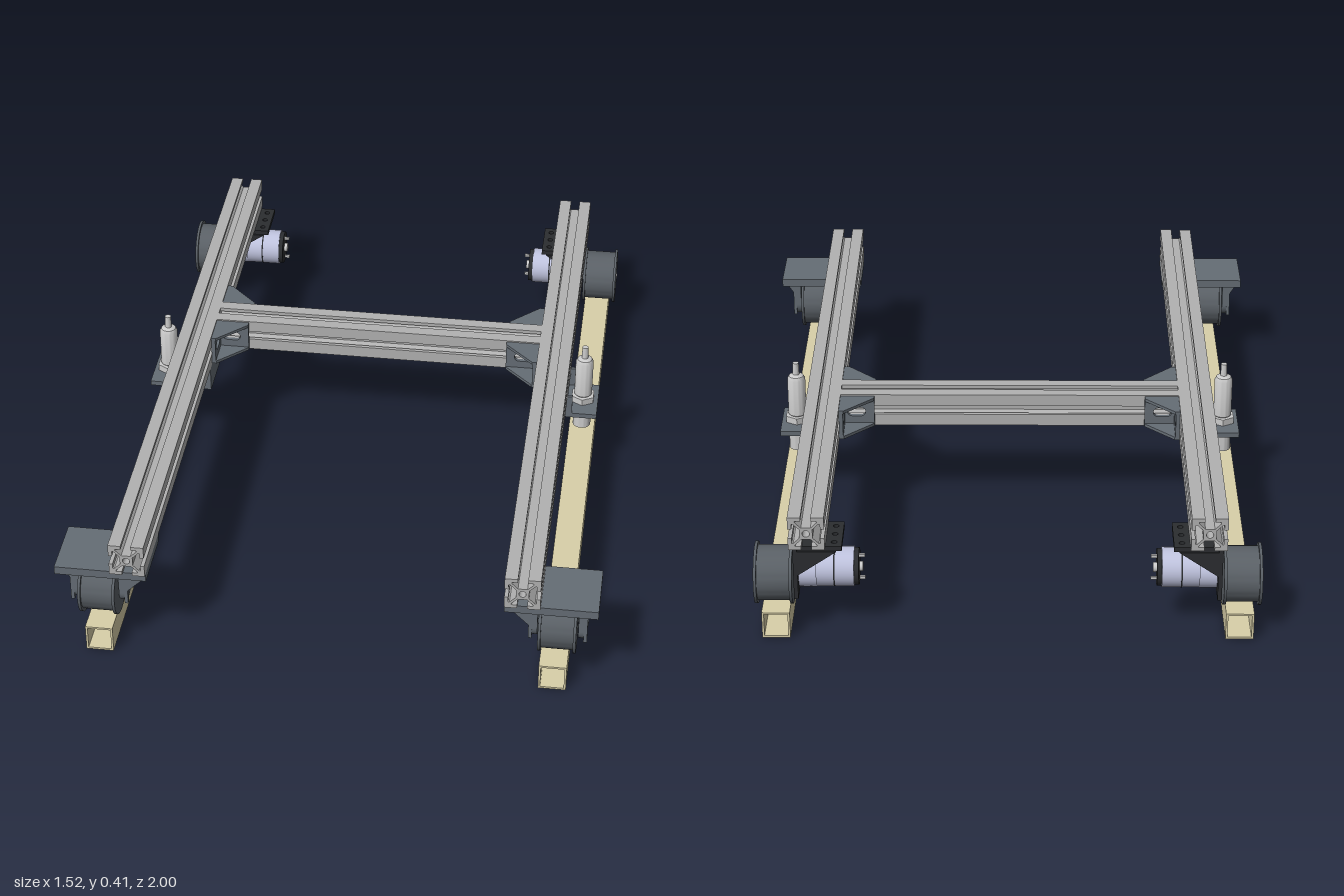
import * as THREE from 'three';
import { toCreasedNormals } from 'three/addons/utils/BufferGeometryUtils.js';

const mat = (color) => new THREE.MeshStandardMaterial({ color, side: THREE.DoubleSide });
const M = {
  alu: mat(0xb2b2b2), tan: mat(0xd9d0a9), slate: mat(0x656d75), wheel: mat(0x5a6066),
  black: mat(0x2b2d30), motor: mat(0xbfc3de), steel: mat(0xc4c4c4),
};

function add(group, name, geo, material, x = 0, y = 0, z = 0) {
  const m = new THREE.Mesh(geo, material);
  m.name = name;
  m.position.set(x, y, z);
  group.add(m);
  return m;
}

// Box given by its minimum and maximum on each axis
function box(group, name, material, x0, x1, y0, y1, z0, z1) {
  return add(group, name, new THREE.BoxGeometry(x1 - x0, y1 - y0, z1 - z0), material,
    (x0 + x1) / 2, (y0 + y1) / 2, (z0 + z1) / 2);
}

const shapeOf = (pts) => new THREE.Shape(pts.map(([a, b]) => new THREE.Vector2(a, b)));
const extrude = (shape, depth) =>
  new THREE.ExtrudeGeometry(shape, { depth, bevelEnabled: false, curveSegments: 16 });
const circleHole = (x, y, r) => new THREE.Path().absarc(x, y, r, 0, Math.PI * 2, true);

// Cylinder along x from x0 to x1
function cylX(group, name, material, r, x0, x1, y, z, sides = 40) {
  const g = new THREE.CylinderGeometry(r, r, x1 - x0, sides).rotateZ(Math.PI / 2);
  return add(group, name, g, material, (x0 + x1) / 2, y, z);
}

// Slotted aluminium extrusion, centred, running along z
function slottedBar(length) {
  const side = [[.05, -.05], [.05, -.014], [.039, -.014], [.039, -.03], [.035, -.03], [.018, -.013],
    [.018, .013], [.035, .03], [.039, .03], [.039, .014], [.05, .014]];
  const pts = [];
  for (let k = 0; k < 4; k++) {
    const c = Math.round(Math.cos(k * Math.PI / 2)), s = Math.round(Math.sin(k * Math.PI / 2));
    side.forEach(([x, y]) => pts.push([x * c - y * s, x * s + y * c]));
  }
  const shape = shapeOf(pts);
  shape.holes.push(circleHole(0, 0, .01));
  return extrude(shape, length).translate(0, 0, -length / 2);
}

// Spool wheel with two flanges, axis along x
function flangedWheel(bore) {
  const w = .053, f = .045, R = .087, t = .078;
  const pts = [[bore, -w], [R, -w], [R, -f], [t, -f], [t, f], [R, f], [R, w], [bore, w], [bore, -w]];
  const g = new THREE.LatheGeometry(pts.map(([r, y]) => new THREE.Vector2(r, y)), 48);
  return toCreasedNormals(g.rotateZ(-Math.PI / 2), .6);
}

// Corner bracket with its right angle at the origin, legs along -x and +z
function cornerBracket() {
  const g = new THREE.Group();
  g.name = 'cornerBracket';
  const leg = shapeOf([[0, -.046], [.1, -.046], [.1, .046], [0, .046]]);
  const slot = new THREE.Path();
  slot.absarc(.04, 0, .014, Math.PI / 2, Math.PI * 1.5, false);
  slot.absarc(.066, 0, .014, -Math.PI / 2, Math.PI / 2, false);
  leg.holes.push(slot);
  const plate = extrude(leg, .012);
  add(g, 'beamLeg', plate.clone().translate(-.1, 0, 0), M.slate);
  add(g, 'railLeg', plate.clone().rotateY(-Math.PI / 2), M.slate);
  const cheek = extrude(shapeOf([[0, 0], [0, .1], [-.014, .1], [-.1, .014], [-.1, 0]]), .009)
    .rotateX(Math.PI / 2);
  add(g, 'upperCheek', cheek, M.slate, 0, .046, 0);
  add(g, 'lowerCheek', cheek, M.slate, 0, -.037, 0);
  return g;
}

function frontWheelUnit() {
  const g = new THREE.Group();
  g.name = 'frontWheelUnit';
  const y = .165, z = .9, cx = .648;
  box(g, 'mountPlate', M.slate, .5, .76, .255, .28, .805, .99);
  add(g, 'frontWheel', flangedWheel(.015), M.wheel, cx, y, z);
  // Rounded cheeks carrying the axle
  const cheek = new THREE.Shape();
  cheek.moveTo(.042, .09);
  cheek.lineTo(-.042, .09);
  cheek.lineTo(-.042, 0);
  cheek.absarc(0, 0, .042, Math.PI, Math.PI * 2, false);
  cheek.holes.push(circleHole(0, 0, .015));
  const cheekGeo = extrude(cheek, .018).rotateY(-Math.PI / 2);
  add(g, 'outerCheek', cheekGeo, M.slate, .723, y, z);
  add(g, 'innerCheek', cheekGeo, M.slate, .591, y, z);
  // Sloping ribs on both edges of each cheek
  const outer = extrude(shapeOf([[.72, .13], [.73, .13], [.73, .21], [.76, .255], [.72, .255]]), .012);
  const inner = extrude(shapeOf([[.576, .13], [.576, .255], [.505, .255], [.505, .235], [.566, .175], [.566, .13]]), .012);
  for (const rz of [.858, .93]) {
    add(g, 'outerRib', outer, M.slate, 0, 0, rz);
    add(g, 'innerRib', inner, M.slate, 0, 0, rz);
  }
  return g;
}

function driveUnit() {
  const g = new THREE.Group();
  g.name = 'driveUnit';
  const z = -.91, y = .158;
  add(g, 'driveWheel', flangedWheel(.012), M.wheel, .648, y, z);
  cylX(g, 'driveShaft', M.steel, .011, .56, .703, y, z, 20);
  cylX(g, 'gearbox', M.motor, .05, .53, .578, .17, z);
  cylX(g, 'motorBody', M.motor, .056, .425, .53, .178, z);
  cylX(g, 'motorBand', M.black, .0565, .478, .482, .178, z);
  cylX(g, 'motorEndCap', M.black, .052, .412, .425, .178, z);
  cylX(g, 'rearBearing', M.steel, .014, .402, .412, .178, z, 20);
  for (const s of [-1, 1])
    box(g, 'terminal', M.steel, .396, .412, .174 + s * .035, .182 + s * .035, z - .004, z + .004);
  // Angle mount under the rail
  const top = shapeOf([[.455, -.98], [.59, -.98], [.59, -.84], [.455, -.84]]);
  for (const hz of [-.955, -.91, -.865]) top.holes.push(circleHole(.477, hz, .008));
  add(g, 'motorMountTop', extrude(top, .015).rotateX(Math.PI / 2), M.black, 0, .28, 0);
  box(g, 'motorMountFace', M.black, .578, .59, .115, .28, -.985, -.835);
  const gusset = extrude(shapeOf([[.578, .265], [.47, .265], [.578, .19]]), .008);
  for (const gz of [-.985, -.843]) add(g, 'motorMountGusset', gusset, M.black, 0, 0, gz);
  return g;
}

function sensorUnit() {
  const g = new THREE.Group();
  g.name = 'sensorUnit';
  const x = .643, z = -.1;
  // Channel bracket hanging from the rail
  box(g, 'bracketTop', M.slate, .5, .6, .265, .28, -.18, -.02);
  box(g, 'bracketWeb', M.slate, .5, .515, .205, .28, -.18, -.02);
  box(g, 'bracketShelf', M.slate, .5, .69, .205, .22, -.18, -.02);
  for (const rz of [-.18, -.03]) box(g, 'bracketRib', M.slate, .515, .615, .22, .28, rz, rz + .01);
  // Stepped probe with lock nuts
  const pts = [[0, .13], [.027, .13], [.027, .19], [.022, .19], [.022, .24], [.027, .245], [.027, .36],
    [.022, .37], [.01, .375], [.009, .412], [0, .412]];
  const probe = new THREE.LatheGeometry(pts.map(([r, h]) => new THREE.Vector2(r, h)), 32);
  add(g, 'probe', toCreasedNormals(probe, .6), M.steel, x, 0, z);
  for (const h of [.231, .194])
    add(g, 'lockNut', toCreasedNormals(new THREE.CylinderGeometry(.038, .038, .02, 6), .6), M.steel, x, h, z);
  return g;
}

function buildSide() {
  const g = new THREE.Group();
  // Hollow square track
  const tube = shapeOf([[.603, 0], [.681, 0], [.681, .08], [.603, .08]]);
  tube.holes.push(new THREE.Path([[.609, .006], [.609, .074], [.675, .074], [.675, .006]]
    .map(([a, b]) => new THREE.Vector2(a, b))));
  add(g, 'track', extrude(tube, 2), M.tan, 0, 0, -1);
  add(g, 'sideRail', slottedBar(2), M.alu, .55, .33, 0);
  g.add(frontWheelUnit(), driveUnit(), sensorUnit());
  const front = cornerBracket();
  front.position.set(.5, .33, -.15);
  const back = cornerBracket();
  back.position.set(.5, .33, -.25);
  back.rotation.x = Math.PI;
  g.add(front, back);
  return g;
}

// Mirror across x = 0 by baking reflected geometry with reversed corners
function mirrored(source) {
  const out = new THREE.Group();
  source.updateMatrixWorld(true);
  source.traverse((o) => {
    if (!o.isMesh) return;
    const src = o.geometry.index ? o.geometry.toNonIndexed() : o.geometry.clone();
    src.applyMatrix4(o.matrixWorld);
    for (const key of ['position', 'normal']) {
      const a = src.attributes[key], b = a.clone();
      for (let i = 0; i < a.count; i++) {
        const j = i - (i % 3) + (2 - (i % 3));
        a.setXYZ(i, -b.getX(j), b.getY(j), b.getZ(j));
      }
    }
    add(out, o.name, src, o.material);
  });
  return out;
}

export function createModel() {
  const model = new THREE.Group();
  model.name = 'railCarriage';
  const left = buildSide();
  left.name = 'leftSide';
  const right = mirrored(left);
  right.name = 'rightSide';
  model.add(left, right);
  add(model, 'crossBeam', slottedBar(1).rotateY(Math.PI / 2), M.alu, 0, .33, -.2);
  return model;
}
